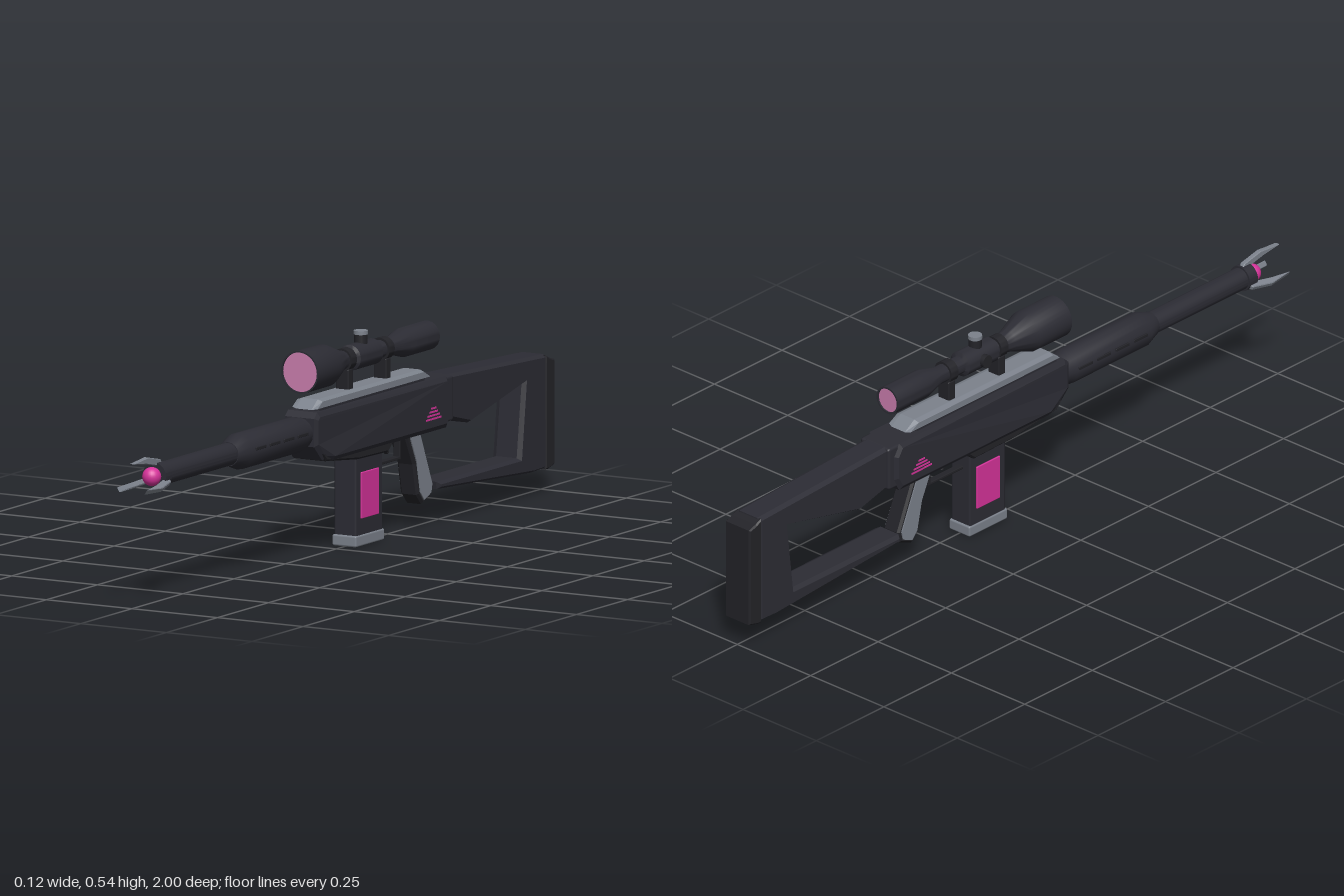
import * as THREE from 'three';
import { toCreasedNormals } from 'three/addons/utils/BufferGeometryUtils.js';
import { RoundedBoxGeometry } from 'three/addons/geometries/RoundedBoxGeometry.js';

const mat = (name, color) => Object.assign(new THREE.MeshStandardMaterial({ color }), { name });

export function createModel() {
  const body = mat('charcoal body', 0x2c2c34);
  const dark = mat('dark trim', 0x232328);
  const grey = mat('steel grey', 0x7c828c);
  const pink = mat('glowing pink', 0xd6339a);
  const glass = mat('pale pink glass', 0xcb7eae);
  const model = new THREE.Group();

  const add = (name, geometry, material, x = 0, y = 0, z = 0, parent = model) => {
    const mesh = new THREE.Mesh(geometry, material);
    mesh.name = name;
    mesh.position.set(x, y, z);
    parent.add(mesh);
    return mesh;
  };
  // Side outline given as [z, y], extruded across x with a chamfer
  const slab = (points, half, bevel = 0.006, deep = bevel) => {
    const shape = new THREE.Shape(points.map(p => new THREE.Vector2(...p)));
    const g = new THREE.ExtrudeGeometry(shape, {
      depth: 2 * (half - deep), bevelEnabled: bevel > 0, bevelSegments: 1,
      bevelSize: bevel, bevelOffset: -bevel, bevelThickness: deep,
    });
    return g.translate(0, 0, deep - half).rotateY(-Math.PI / 2);
  };
  // Turned part along z, profile given as [radius, z] from back to front
  const turned = (points, sides = 32) => toCreasedNormals(
    new THREE.LatheGeometry(points.map(p => new THREE.Vector2(...p)), sides).rotateX(Math.PI / 2), 0.5);
  const box = (w, h, d, r = 0.004) => new RoundedBoxGeometry(w, h, d, 1, r);

  // Receiver, narrowing slightly at the nose
  const receiver = slab([[0.165, 0.376], [0.18, 0.362], [0.18, 0.29], [0.14, 0.25], [0.1, 0.245],
    [-0.455, 0.245], [-0.475, 0.28], [-0.475, 0.345], [-0.455, 0.376]], 0.057, 0.012, 0.008);
  const rp = receiver.attributes.position;
  for (let i = 0; i < rp.count; i++) if (rp.getZ(i) > 0.12) rp.setX(i, rp.getX(i) * 0.86);
  receiver.computeVertexNormals();
  add('receiver', receiver, body);
  add('magazineWell', slab([[0.15, 0.27], [0.13, 0.247], [-0.03, 0.228], [-0.175, 0.225],
    [-0.205, 0.25], [-0.205, 0.27]], 0.05, 0.005), dark);
  add('stockCollar', box(0.1, 0.118, 0.05, 0.008), body, 0, 0.315, -0.468);

  // Top rail
  add('railBase', box(0.072, 0.018, 0.52), body, 0, 0.38, -0.115);
  add('topRail', slab([[0.16, 0.38], [0.13, 0.403], [-0.37, 0.403], [-0.405, 0.38]], 0.037, 0.005, 0.014), grey);

  // Pink side vents
  for (const s of [-1, 1]) {
    for (let i = 0; i < 4; i++) {
      add('sideVent', new THREE.BoxGeometry(0.004, 0.0045, 0.075 - i * 0.017), pink,
        s * 0.0565, 0.279 + i * 0.009, -0.38);
    }
  }

  // Handguard and barrel
  const axis = 0.322;
  add('handguard', turned([[0, 0.15], [0.04, 0.15], [0.04, 0.19], [0.046, 0.21], [0.046, 0.485],
    [0.031, 0.53], [0, 0.53]], 16), body, 0, axis, 0);
  add('barrel', turned([[0, 0.5], [0.029, 0.5], [0.029, 0.86], [0.034, 0.86], [0.034, 0.89],
    [0.015, 0.89], [0, 0.89]], 24), body, 0, axis, 0);
  for (const s of [-1, 1]) {
    for (let i = 0; i < 4; i++) {
      add('handguardSlot', box(0.004, 0.008, 0.05, 0.0015), dark, s * 0.0455, axis + 0.008, 0.24 + i * 0.068);
    }
  }

  // Muzzle orb held by three prongs
  add('muzzleOrb', new THREE.SphereGeometry(0.024, 24, 16), pink, 0, axis, 0.903);
  const prong = slab([[0.86, 0.026], [0.87, 0.04], [0.93, 0.053], [1, 0.046], [0.94, 0.037],
    [0.89, 0.026]], 0.007, 0.002);
  for (let i = 0; i < 3; i++) {
    add('muzzleProng', prong, grey, 0, axis, 0).rotation.z = i * Math.PI * 2 / 3;
  }

  // Skeleton stock and butt pad
  add('stock', slab([[-0.46, 0.374], [-0.96, 0.353], [-0.96, 0.062], [-0.9, 0.06], [-0.44, 0.088],
    [-0.437, 0.107], [-0.832, 0.107], [-0.856, 0.295], [-0.59, 0.235], [-0.46, 0.268]], 0.042, 0.007, 0.012), body);
  add('buttPad', slab([[-0.955, 0.352], [-0.975, 0.343], [-1, 0.335], [-1, 0.068], [-0.97, 0.06],
    [-0.955, 0.06]], 0.043, 0.004), dark);

  // Grip with grey cheek panels
  add('grip', slab([[-0.295, 0.25], [-0.37, 0.25], [-0.432, 0.105], [-0.425, 0.075], [-0.38, 0.058],
    [-0.355, 0.085], [-0.338, 0.165]], 0.026, 0.006), dark);
  const cheek = slab([[-0.314, 0.24], [-0.363, 0.24], [-0.422, 0.105], [-0.417, 0.083], [-0.383, 0.069],
    [-0.365, 0.09], [-0.348, 0.168]], 0.003, 0);
  for (const s of [-1, 1]) add('gripPanel', cheek, grey, s * 0.026, 0, 0);

  // Trigger and guard
  add('guardBar', box(0.018, 0.008, 0.13, 0.002), dark, 0, 0.187, -0.235);
  add('guardRear', box(0.018, 0.065, 0.008, 0.002), dark, 0, 0.215, -0.298);
  add('trigger', slab([[-0.228, 0.25], [-0.242, 0.25], [-0.242, 0.225], [-0.25, 0.207],
    [-0.243, 0.205], [-0.232, 0.222]], 0.006, 0.001), dark);

  // Magazine
  add('magazine', box(0.064, 0.23, 0.132, 0.005), body, 0, 0.13, -0.108);
  add('magazineCap', box(0.071, 0.029, 0.142, 0.005), grey, 0, 0.0145, -0.108);
  for (const s of [-1, 1]) {
    add('magazineWindow', box(0.008, 0.118, 0.086, 0.002), pink, s * 0.032, 0.129, -0.108);
  }

  // Scope
  const scope = new THREE.Group();
  scope.name = 'scope';
  scope.position.y = 0.477;
  model.add(scope);
  add('scopeTube', turned([[0, -0.437], [0.032, -0.437], [0.032, -0.445], [0.037, -0.445], [0.037, -0.32],
    [0.023, -0.265], [0.023, -0.18], [0.033, -0.175], [0.033, -0.065], [0.023, -0.06], [0.023, -0.03],
    [0.03, 0], [0.054, 0.065], [0.0545, 0.18], [0.0505, 0.18], [0.0505, 0.172], [0, 0.172]], 32),
    body, 0, 0, 0, scope);
  add('frontLens', new THREE.CircleGeometry(0.0508, 32), glass, 0, 0, 0.175, scope);
  add('rearLens', new THREE.CircleGeometry(0.0325, 32), glass, 0, 0, -0.441, scope).rotation.y = Math.PI;
  for (const z of [-0.04, -0.225]) {
    add('scopeRing', turned([[0.023, z - 0.013], [0.029, z - 0.013], [0.029, z + 0.013],
      [0.023, z + 0.013]]), dark, 0, 0, 0, scope);
    add('scopeMount', box(0.038, 0.055, 0.025), dark, 0, -0.05, z, scope);
  }
  add('topTurret', new THREE.CylinderGeometry(0.017, 0.017, 0.04, 20), dark, 0, 0.034, -0.12, scope);
  add('topTurretCap', new THREE.CylinderGeometry(0.018, 0.018, 0.01, 20), grey, 0, 0.057, -0.12, scope);
  add('sideTurret', new THREE.CylinderGeometry(0.017, 0.017, 0.03, 20), dark, -0.028, 0, -0.12, scope)
    .rotation.z = Math.PI / 2;

  return model;
}
